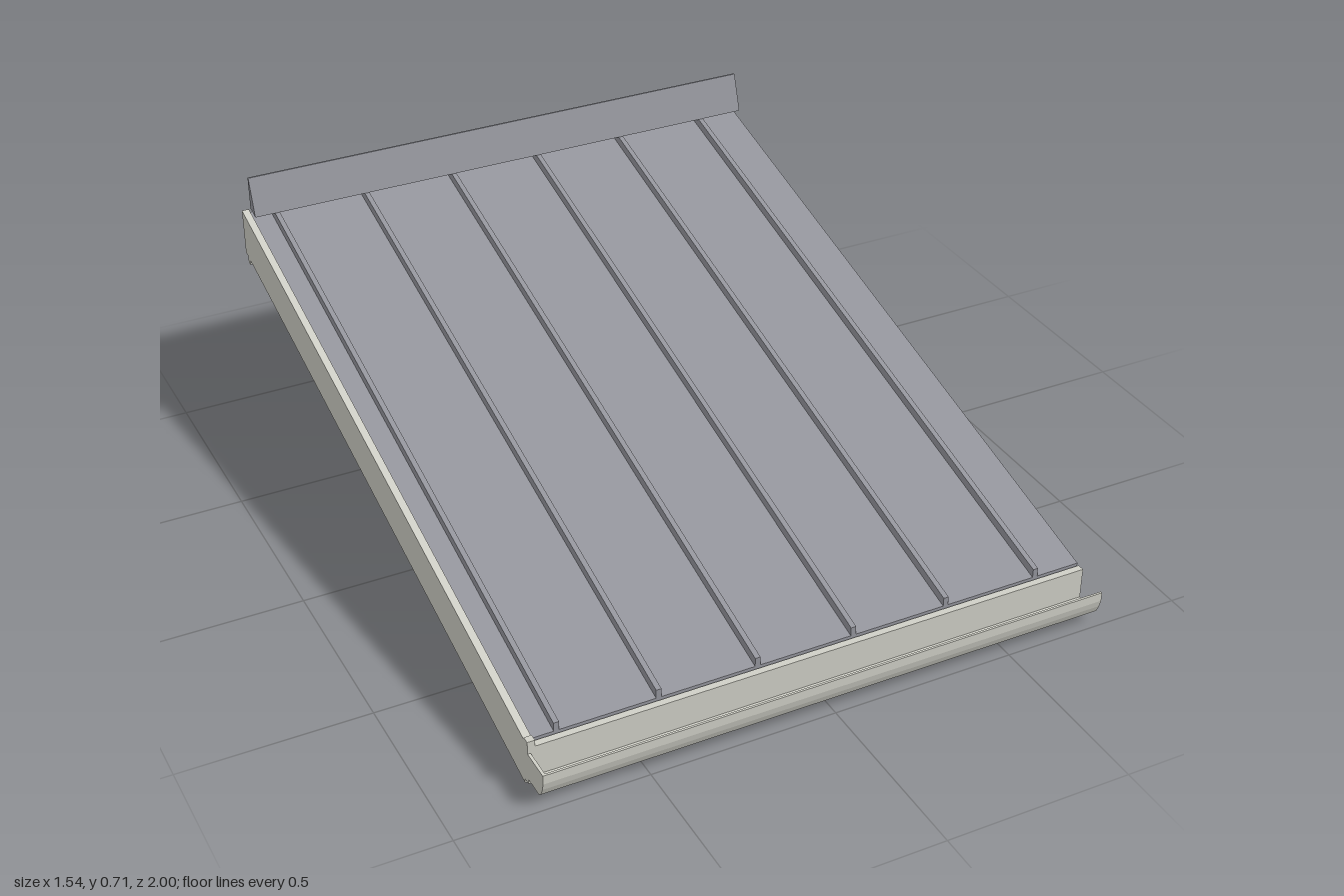
import * as THREE from 'three';

const PITCH = 0.25;
// height of the rafter tops at depth z
const rafterTop = (z) => 0.313 - PITCH * z;

export function createModel() {
  const roof = new THREE.Group();
  roof.name = 'leanToRoof';
  const timber = new THREE.MeshStandardMaterial({ color: 0xcfcfc6 });
  timber.name = 'pale timber';
  const metal = new THREE.MeshStandardMaterial({ color: 0x94959c });
  metal.name = 'grey sheet metal';

  const add = (name, geometry, material) => {
    const mesh = new THREE.Mesh(geometry, material);
    mesh.name = name;
    roof.add(mesh);
  };
  // tilt a flat geometry to the roof pitch, keeping its ends vertical
  const pitch = (geometry) => {
    const p = geometry.attributes.position;
    for (let i = 0; i < p.count; i++) p.setY(i, p.getY(i) + rafterTop(p.getZ(i)));
    geometry.computeVertexNormals();
    return geometry;
  };
  const box = (x0, x1, y0, y1, z0, z1) =>
    new THREE.BoxGeometry(x1 - x0, y1 - y0, z1 - z0)
      .translate((x0 + x1) / 2, (y0 + y1) / 2, (z0 + z1) / 2);
  const sloped = (name, material, ...size) => add(name, pitch(box(...size)), material);
  // extrude a [z, y] outline across the width
  const across = (points, x0, x1) => {
    const shape = new THREE.Shape(points.map(([z, y]) => new THREE.Vector2(-z, y)));
    return new THREE.ExtrudeGeometry(shape, { depth: x1 - x0, bevelEnabled: false })
      .rotateY(Math.PI / 2).translate(x0, 0, 0);
  };

  // boarded deck with V grooves along its underside
  const left = -0.755, right = 0.77, boards = 17;
  const deck = new THREE.Shape();
  deck.moveTo(left, 0.018);
  deck.lineTo(left, 0);
  for (let i = 1; i < boards; i++) {
    const x = left + ((right - left) * i) / boards;
    deck.lineTo(x - 0.003, 0);
    deck.lineTo(x, 0.006);
    deck.lineTo(x + 0.003, 0);
  }
  deck.lineTo(right, 0);
  deck.lineTo(right, 0.018);
  add('boardedDeck', pitch(new THREE.ExtrudeGeometry(deck, { depth: 1.89, bevelEnabled: false })
    .translate(0, 0, -1)), timber);

  // rafters, verge board and end boards
  for (const x of [-0.225, 0.44]) {
    sloped('rafter', timber, x - 0.016, x + 0.016, -0.097, 0, -1, 0.865);
  }
  sloped('vergeBoard', timber, -0.775, left, -0.092, 0.04, -1, 0.895);
  add('backBoard', box(-0.775, right, 0.447, 0.558, -0.982, -0.966), timber);
  add('frontFascia', box(-0.775, right, 0.015, 0.105, 0.865, 0.896), timber);

  // standing seam metal covering
  sloped('roofSheet', metal, left, right, 0.018, 0.03, -1, 0.89);
  for (let i = 0; i < 6; i++) {
    const x = -0.69 + i * 0.266;
    sloped('standingSeam', metal, x - 0.007, x + 0.007, 0.03, 0.054, -1, 0.89);
  }

  // wedge flashing resting on the seams
  add('topFlashing', across([[-0.942, 0.604], [-0.982, 0.614], [-0.982, 0.71], [-0.977, 0.71]],
    left, right), metal);

  // open gutter with its back plate and one end cap
  const outer = [[0.915, 0.024], [0.972, 0.024], [0.985, 0.033], [0.995, 0.055], [1, 0.075], [1, 0.1]];
  const inner = [[0.994, 0.1], [0.994, 0.076], [0.99, 0.058], [0.981, 0.038], [0.97, 0.03], [0.915, 0.03]];
  add('gutter', across([...outer, ...inner], -0.775, right), timber);
  add('gutterEndCap', across([...outer, [0.915, 0.1]], -0.775, -0.767), timber);
  add('gutterBackPlate', box(-0.775, right, 0.01, 0.117, 0.896, 0.915), timber);
  add('vergeEndBlock', box(-0.775, left, 0.117, 0.135, 0.895, 0.915), timber);

  return roof;
}
